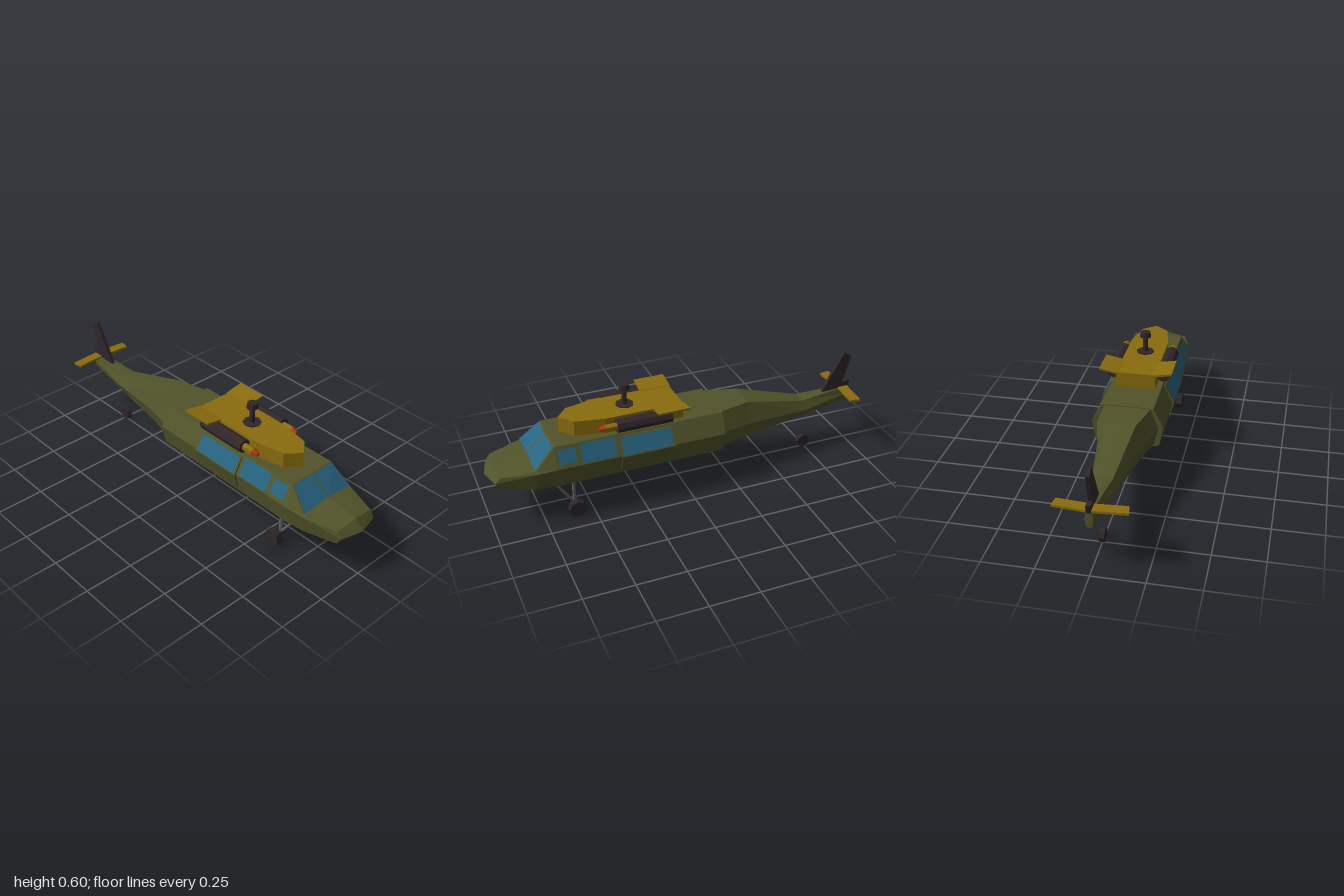
import * as THREE from 'three';

const paint = (name, color) => Object.assign(new THREE.MeshStandardMaterial({ color }), { name });
const V = (p) => new THREE.Vector3(...p);

export function createModel() {
  const group = new THREE.Group();
  const olive = paint('olive', 0x52542a);
  const ochre = paint('ochre', 0x8a6d0e);
  const glass = paint('glass', 0x276380);
  const dark = paint('dark', 0x30262a);
  const steel = paint('steel', 0x626268);
  const red = paint('red', 0xad3512);

  // Every part gets flat facets
  const add = (name, geo, mat) => {
    const flat = geo.index ? geo.toNonIndexed() : geo;
    flat.computeVertexNormals();
    const mesh = new THREE.Mesh(flat, mat);
    mesh.name = name;
    group.add(mesh);
    return mesh;
  };
  const fromTriangles = (name, tris, mat) => {
    const geo = new THREE.BufferGeometry();
    geo.setAttribute('position', new THREE.Float32BufferAttribute(tris.flat(2), 3));
    return add(name, geo, mat);
  };
  const flip = ([x, y, z]) => [-x, y, z];
  const mirrored = (tris) => tris.concat(tris.map(([a, b, c]) => [flip(a), flip(c), flip(b)]));

  // Prism or cone running from one point to another
  const rod = (name, mat, a, b, ra, rb = ra, sides = 8) => {
    const dir = V(b).sub(V(a));
    const mesh = add(name, new THREE.CylinderGeometry(rb, ra, dir.length(), sides), mat);
    mesh.position.copy(V(a).add(V(b)).multiplyScalar(0.5));
    mesh.quaternion.setFromUnitVectors(new THREE.Vector3(0, 1, 0), dir.normalize());
    return mesh;
  };
  const extrude = (points, depth) =>
    new THREE.ExtrudeGeometry(new THREE.Shape(points.map((p) => new THREE.Vector2(...p))),
      { depth, bevelEnabled: false });

  // Hull from half sections, listed back to front, each from roof centre to keel
  const loft = (name, rings, tip) => {
    const tris = [];
    const back = rings[0], front = rings[rings.length - 1];
    for (let j = 0; j < back.length - 1; j++) {
      for (let i = 0; i < rings.length - 1; i++) {
        const a = rings[i][j], b = rings[i][j + 1], c = rings[i + 1][j + 1], d = rings[i + 1][j];
        tris.push([a, d, b], [b, d, c]);
      }
      if (j > 0) tris.push([back[0], back[j], back[j + 1]]);
      tris.push([tip, front[j + 1], front[j]]);
    }
    fromTriangles(name, mirrored(tris), olive);
  };
  const section = (z, top, corner, mid, low, keel) =>
    [[0, top, z], [...corner, z], [...mid, z], [...low, z], [0, keel, z]];

  // Cabin and nose
  loft('cabin', [
    section(-0.19, 0.405, [0.13, 0.405], [0.18, 0.305], [0.16, 0.202], 0.163),
    section(0.68, 0.405, [0.13, 0.405], [0.18, 0.305], [0.16, 0.202], 0.163),
    section(0.78, 0.325, [0.157, 0.306], [0.167, 0.295], [0.15, 0.203], 0.165),
    [[0, 0.305, 0.955], [0.115, 0.285, 0.945], [0.112, 0.255, 0.97], [0.11, 0.212, 0.945], [0, 0.2, 0.95]],
  ], [0, 0.255, 1]);

  // Tail boom
  loft('tailBoom', [
    section(-0.985, 0.33, [0.012, 0.33], [0.02, 0.29], [0.014, 0.25], 0.245),
    section(-0.7, 0.315, [0.04, 0.313], [0.063, 0.265], [0.045, 0.225], 0.218),
    section(-0.36, 0.4, [0.075, 0.398], [0.112, 0.29], [0.09, 0.205], 0.188),
    section(-0.19, 0.402, [0.115, 0.4], [0.155, 0.3], [0.135, 0.21], 0.183),
  ], [0, 0.3, -0.19]);

  // Windscreen panes
  const pane = (name, p0, p1, p2, p3) =>
    fromTriangles(name, mirrored([[p0, p1, p2], [p0, p2, p3]]), glass);
  pane('windscreen', [0.004, 0.327, 0.786], [0.153, 0.312, 0.785], [0.127, 0.404, 0.687], [0.004, 0.404, 0.687]);

  // Side doors, standing slightly proud of the cabin
  for (const s of [1, -1]) {
    const door = extrude([[0.142, 0.393], [0.19, 0.305], [0.166, 0.215], [0.15, 0.215], [0.165, 0.305], [0.125, 0.393]]
      .map(([x, y]) => [s * x, y]), 0.28);
    add('sideDoor', door.translate(0, 0, 0.08), olive);
  }

  // Side windows, lying on the sloped upper walls
  const sideWindow = (zb, zf, y0, y1, x0, slope) => {
    const at = (y, z) => [x0 - (y - 0.305) * slope + 0.003, y, z];
    pane('sideWindow', at(y0, zf), at(y0, zb), at(y1, zb), at(y1, zf));
  };
  sideWindow(0.092, 0.352, 0.312, 0.39, 0.19, 0.545);
  sideWindow(0.38, 0.555, 0.312, 0.398, 0.18, 0.5);
  sideWindow(0.58, 0.665, 0.325, 0.39, 0.18, 0.5);

  // Engine cowling on the roof
  const half = [[0.1, 0.01], [0.1, 0.41], [0.07, 0.56]];
  const outline = [...half, [0, 0.62], ...half.map(([x, z]) => [-x, z]).reverse()];
  add('cowling', extrude(outline.map(([x, z]) => [x, -z]), 0.085).rotateX(-Math.PI / 2).translate(0, 0.4, 0), ochre);

  for (const s of [1, -1]) {
    // Stub wings with slung launchers
    const wing = extrude([[0.09, 0.476], [0.185, 0.493], [0.185, 0.503], [0.09, 0.486]]
      .map(([x, y]) => [s * x, y]), 0.16);
    add('stubWing', wing.translate(0, 0, 0.005), ochre);
    const x = s * 0.13;
    rod('launcher', dark, [x, 0.45, 0.085], [x, 0.45, 0.365], 0.035);
    rod('rocketBody', ochre, [x, 0.45, 0.36], [x, 0.45, 0.425], 0.02, 0.02, 6);
    rod('rocketTip', red, [x, 0.45, 0.425], [x, 0.45, 0.455], 0.021, 0.009, 6);

    // Main landing gear
    const g = (px, y, z) => [s * px + 0.005, y, z];
    rod('gearStrut', steel, g(0.1, 0.04, 0.59), g(0.1, 0.21, 0.59), 0.009, 0.009, 6);
    rod('gearBrace', steel, g(0.1, 0.06, 0.6), g(0.1, 0.2, 0.695), 0.007, 0.007, 6);
    rod('gearAxle', dark, g(0.086, 0.044, 0.59), g(0.14, 0.044, 0.59), 0.014);
    rod('mainWheel', dark, g(0.132, 0.044, 0.59), g(0.165, 0.044, 0.59), 0.044);
  }
  rod('tailWheel', dark, [-0.013, 0.036, -0.74], [0.013, 0.036, -0.74], 0.036);

  // Rotor mast and hub
  rod('mastBase', dark, [0, 0.484, 0.28], [0, 0.49, 0.28], 0.046);
  rod('mast', dark, [0, 0.488, 0.28], [0, 0.575, 0.28], 0.013);
  rod('rotorHub', dark, [0, 0.57, 0.28], [0, 0.598, 0.28], 0.03, 0.026);

  // Tail fin with its base fairing
  const upright = (name, points, width) =>
    add(name, extrude(points, width).rotateY(-Math.PI / 2).translate(width / 2, 0, 0), dark);
  upright('tailFin', [[-0.83, 0.315], [-0.94, 0.315], [-0.995, 0.508], [-0.952, 0.535]], 0.018);
  upright('finFairing', [[-0.83, 0.315], [-0.985, 0.32], [-1, 0.366], [-0.93, 0.358]], 0.022);

  // Horizontal stabiliser
  const tailplane = [[0, -0.985], [0.17, -0.972], [0.162, -0.918], [0, -0.93], [-0.162, -0.918], [-0.17, -0.972]];
  add('stabiliser', extrude(tailplane.map(([x, z]) => [x, -z]), 0.012)
    .rotateX(-Math.PI / 2).translate(0, 0.322, 0), ochre);

  return group;
}
